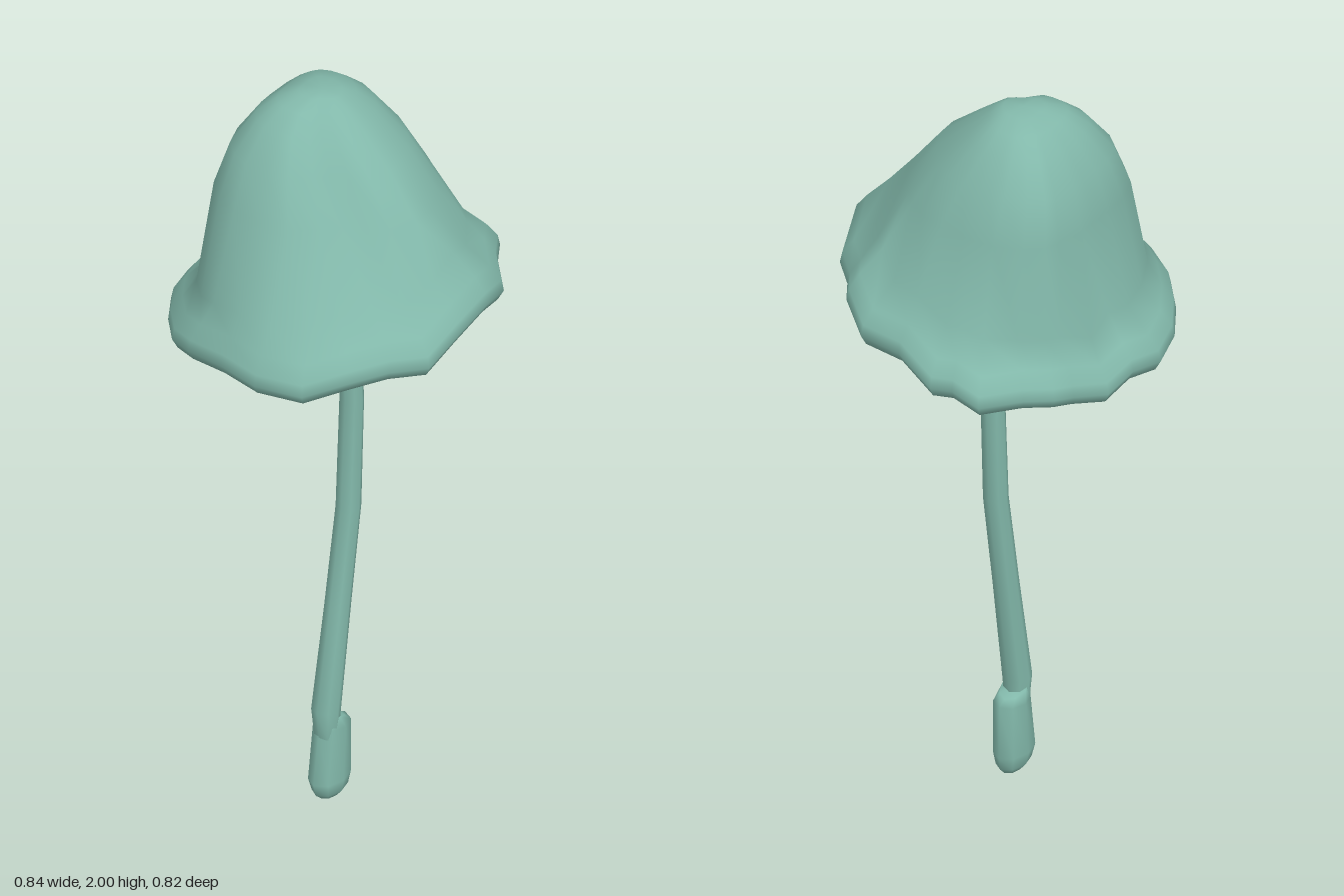
import * as THREE from 'three';
import { mergeVertices } from 'three/addons/utils/BufferGeometryUtils.js';

// Skins a list of closed rings (each an array of [x, y, z]), ordered from top to bottom
function loft(rings) {
  const n = rings[0].length;
  const index = [];
  for (let r = 0; r < rings.length - 1; r++) {
    for (let j = 0; j < n; j++) {
      const k = (j + 1) % n;
      const a = r * n + j, b = r * n + k, c = a + n, d = b + n;
      index.push(a, b, c, b, d, c);
    }
  }
  const g = new THREE.BufferGeometry();
  g.setAttribute('position', new THREE.Float32BufferAttribute(rings.flat(2), 3));
  g.setIndex(index);
  const merged = mergeVertices(g, 1e-5);
  merged.computeVertexNormals();
  return merged;
}

// Elliptical rings from rows of [y, centre x, centre z, radius x, radius z]
function ellipseRings(rows, sides) {
  return rows.map(([y, cx, cz, rx, rz]) =>
    Array.from({ length: sides }, (_, j) => {
      const a = (j / sides) * Math.PI * 2;
      return [cx + rx * Math.cos(a), y, cz + rz * Math.sin(a)];
    }));
}

// Wavy edge of the cap, as [x, y, z]
const RIM = [
  [0.42, 1.40, -0.07], [0.40, 1.45, 0.04], [0.39, 1.45, 0.16], [0.34, 1.50, 0.24],
  [0.28, 1.50, 0.28], [0.20, 1.49, 0.36], [0.07, 1.54, 0.41], [-0.03, 1.50, 0.40],
  [-0.15, 1.465, 0.40], [-0.23, 1.47, 0.34], [-0.32, 1.46, 0.28], [-0.40, 1.43, 0.20],
  [-0.42, 1.42, 0.07], [-0.40, 1.42, -0.05], [-0.375, 1.40, -0.17], [-0.335, 1.38, -0.25],
  [-0.26, 1.37, -0.32], [-0.17, 1.36, -0.38], [-0.07, 1.35, -0.41], [0.03, 1.37, -0.40],
  [0.10, 1.33, -0.375], [0.21, 1.37, -0.35], [0.25, 1.37, -0.32], [0.31, 1.38, -0.27],
  [0.40, 1.38, -0.20], [0.40, 1.40, -0.12],
];

// Dome rows: [y, centre x, half width, front z, back z]
const DOME = [
  [2.0, 0.02, 0, -0.06, -0.06],
  [1.998, 0.02, 0.05, -0.01, -0.11],
  [1.98, 0.02, 0.10, 0.02, -0.155],
  [1.94, 0.02, 0.15, 0.07, -0.20],
  [1.86, 0.014, 0.207, 0.165, -0.25],
  [1.75, 0.012, 0.255, 0.25, -0.28],
];
const NECK = [0, -0.01, 0.335, 0.325, -0.315];

// How far the cross-section swells at a bearing: square at the back, flattened at the front
function swell(a) {
  const diagonal = Math.sin(2 * a) ** 2;
  if (Math.sin(a) < 0) return 0.14 * diagonal;
  return (Math.cos(a) < 0 ? 0.3 * Math.cos(a) : -0.04) * diagonal;
}

// A dome ring on the bearings of the rim points; inset gives the inner wall
function domeRing([y, cx, hw, zf, zb], inset, strength, heightAt) {
  const cz = (zf + zb) / 2;
  const rx = Math.max(hw - inset, 0);
  const rz = Math.max((zf - zb) / 2 - inset, 0);
  return RIM.map(([x, rimY, z]) => {
    const a = Math.atan2(z, x);
    const s = 1 + strength * swell(a);
    return [cx + s * rx * Math.cos(a), heightAt(y, rimY), cz + s * rz * Math.sin(a)];
  });
}

const domeRings = (inset) => DOME.map((row) => domeRing(row, inset, 1, (y) => y - inset));

// The waist of the cap, which rises and falls with the rim
const neckRing = (inset, lift) => domeRing(NECK, inset, 0.35, (y, rimY) => rimY + lift);

// A ring that scales the rim and lifts it
const rimRing = (scale, lift) => RIM.map(([x, y, z]) => [x * scale, y + lift, z * scale]);

export function createModel() {
  const green = new THREE.MeshStandardMaterial({ color: 0x82b8aa });
  green.name = 'sage green';
  const model = new THREE.Group();
  model.name = 'mushroom';

  const add = (name, geometry) => {
    const mesh = new THREE.Mesh(geometry, green);
    mesh.name = name;
    model.add(mesh);
  };

  // Hollow cap: outer dome, flared lip, then the inner wall back up to the crown
  add('cap', loft([
    ...domeRings(0),
    neckRing(0, 0.12),
    rimRing(0.915, 0.06),
    rimRing(0.985, 0.022),
    rimRing(1, -0.008),
    rimRing(0.965, -0.035),
    rimRing(0.90, -0.015),
    neckRing(0.022, 0.09),
    ...domeRings(0.02).reverse(),
  ]));

  // Slender bent stem reaching into the cap
  add('stem', loft(ellipseRings([
    [1.9, 0.01, 0.0, 0, 0],
    [1.9, 0.01, 0.0, 0.018, 0.02],
    [1.5, 0.01, 0.027, 0.022, 0.026],
    [1.13, 0.016, 0.033, 0.027, 0.033],
    [0.82, 0.003, 0.033, 0.03, 0.033],
    [0.55, -0.037, 0.031, 0.032, 0.034],
    [0.26, -0.077, 0.026, 0.037, 0.037],
    [0.18, -0.075, 0.025, 0.03, 0.03],
  ], 8)));

  // Swollen foot, its top slanting down to the left
  const foot = ellipseRings([
    [0.235, -0.06, 0.024, 0, 0],
    [0.235, -0.062, 0.024, 0.042, 0.034],
    [0.205, -0.051, 0.024, 0.052, 0.043],
    [0.055, -0.064, 0.026, 0.064, 0.044],
    [0.02, -0.062, 0.026, 0.056, 0.036],
    [0.0, -0.06, 0.026, 0.035, 0.02],
    [0.0, -0.06, 0.026, 0, 0],
  ], 8);
  for (const p of foot[1]) p[1] -= (p[0] + 0.062) * 0.4;
  add('stemFoot', loft(foot));

  return model;
}
